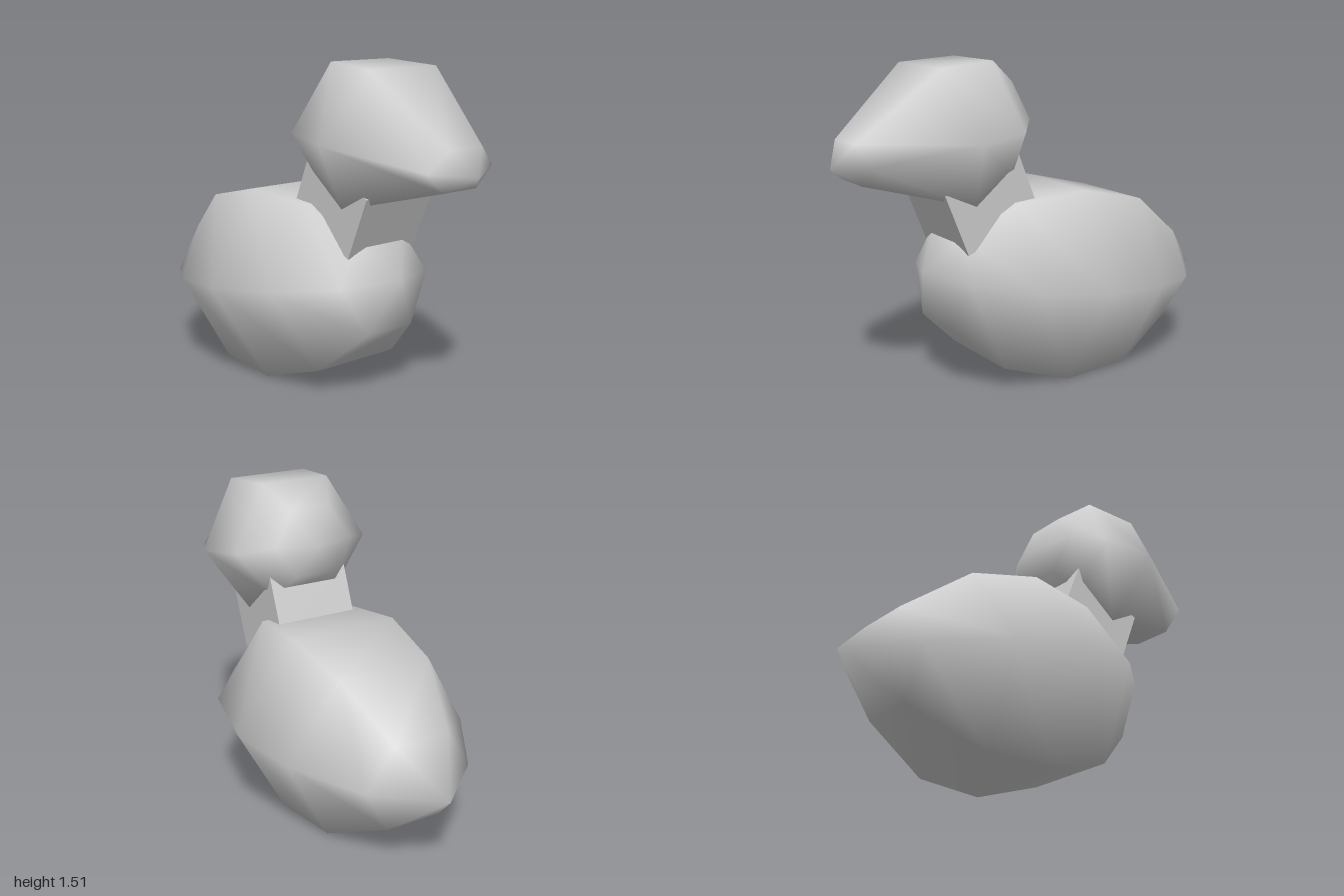
import * as THREE from 'three';

const material = new THREE.MeshStandardMaterial({ color: 0xcccccc });

// Closed smooth hull: hexagonal rings between two end points, listed front to back.
// Pole: [z, y]. Ring: [halfWidth, top z, top y, side z, side y, bottom z, bottom y].
function hexHull(name, frontPole, rings, backPole) {
  const pos = [0, frontPole[1], frontPole[0]];
  for (const [w, tz, ty, sz, sy, bz, by] of rings) {
    const h = w / 2;
    pos.push(w, sy, sz, h, ty, tz, -h, ty, tz, -w, sy, sz, -h, by, bz, h, by, bz);
  }
  pos.push(0, backPole[1], backPole[0]);

  const index = [];
  const last = pos.length / 3 - 1;
  const at = (ring, j) => 1 + ring * 6 + (j % 6);
  for (let j = 0; j < 6; j++) {
    index.push(0, at(0, j), at(0, j + 1));
    for (let i = 0; i < rings.length - 1; i++) {
      const a = at(i, j), b = at(i, j + 1), c = at(i + 1, j), d = at(i + 1, j + 1);
      index.push(a, c, b, b, c, d);
    }
    index.push(last, at(rings.length - 1, j + 1), at(rings.length - 1, j));
  }

  const geometry = new THREE.BufferGeometry();
  geometry.setAttribute('position', new THREE.Float32BufferAttribute(pos, 3));
  geometry.setIndex(index);
  geometry.computeVertexNormals();
  const mesh = new THREE.Mesh(geometry, material);
  mesh.name = name;
  return mesh;
}

export function createModel() {
  const model = new THREE.Group();
  model.name = 'duck';

  // Plump body drawn out to a pointed tail
  model.add(hexHull('body', [0.57, 0.55], [
    [0.27, 0.44, 0.73, 0.47, 0.53, 0.505, 0.31],
    [0.475, 0.2, 0.87, 0.23, 0.507, 0.28, 0.105],
    [0.545, -0.15, 0.9, -0.11, 0.475, -0.05, 0],
    [0.475, -0.49, 0.82, -0.445, 0.44, -0.4, 0.01],
    [0.272, -0.79, 0.6, -0.77, 0.395, -0.74, 0.17],
  ], [-1, 0.39]));

  // Head tapering forward into the bill
  model.add(hexHull('head', [1, 1.065], [
    [0.2, 0.93, 1.18, 0.9, 1.09, 0.9, 1.0],
    [0.405, 0.565, 1.49, 0.475, 1.18, 0.4, 0.87],
    [0.35, 0.295, 1.51, 0.235, 1.207, 0.2, 0.985],
    [0.2, 0.15, 1.405, 0.12, 1.245, 0.105, 1.09],
  ], [0.07, 1.235]));

  // Square neck leaning forward
  const neck = new THREE.Mesh(new THREE.BoxGeometry(0.41, 0.303, 0.407), material);
  neck.name = 'neck';
  neck.position.set(0, 0.873, 0.312);
  neck.rotation.x = 0.385;
  model.add(neck);

  return model;
}
